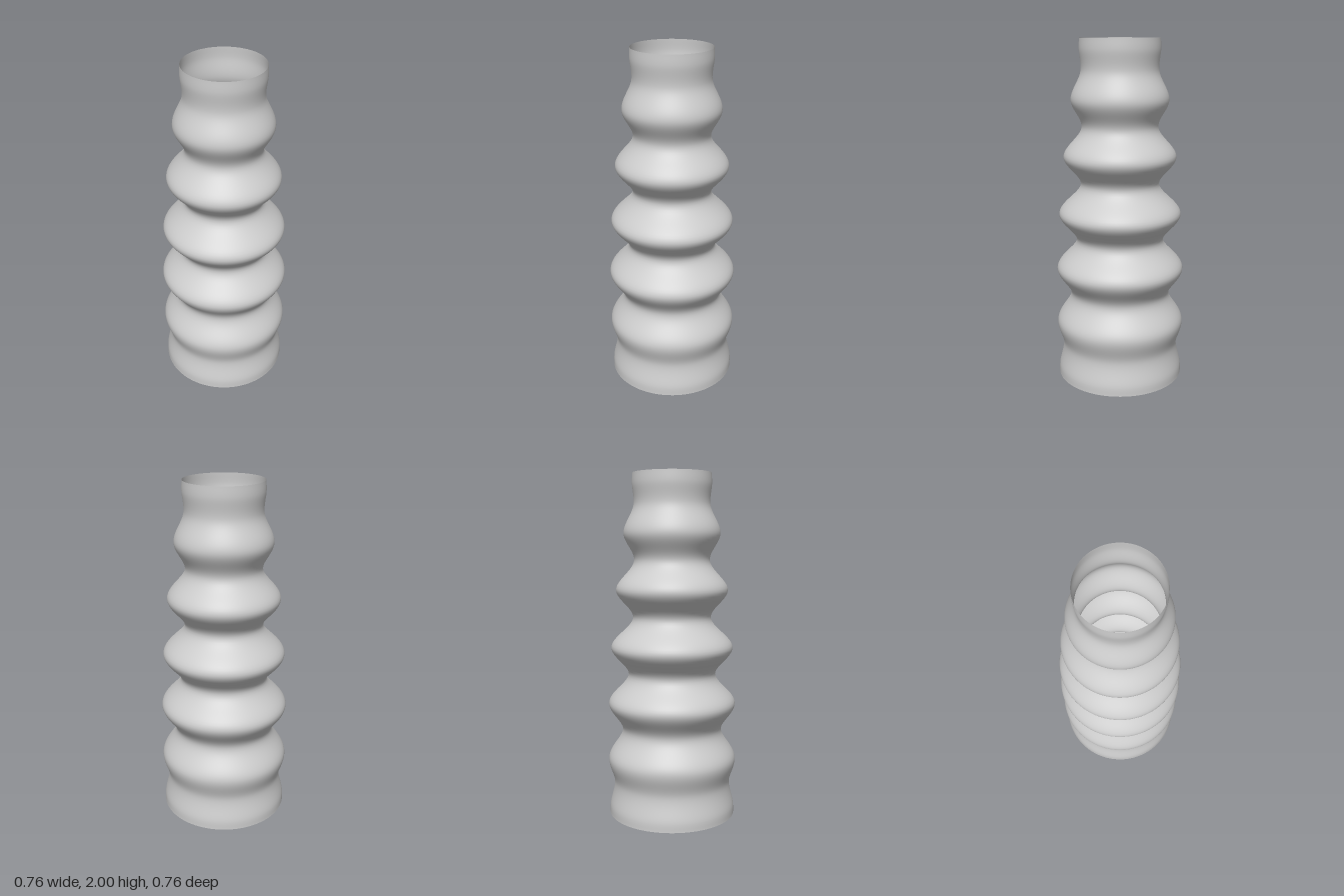
import * as THREE from 'three';

export function createModel() {
  const group = new THREE.Group();
  group.name = 'bellowsSleeve';

  // Alternating ridges and valleys, as [radius, height]
  const profile = [
    [0.373, 0], [0.371, 0.05], [0.344, 0.19],
    [0.377, 0.34], [0.293, 0.51],
    [0.374, 0.67], [0.256, 0.84],
    [0.357, 1.0], [0.228, 1.175],
    [0.326, 1.335], [0.22, 1.505],
    [0.28, 1.66], [0.222, 1.82],
    [0.23, 1.94], [0.228, 2],
  ];
  const curve = new THREE.CatmullRomCurve3(
    profile.map(([r, y]) => new THREE.Vector3(r, y, 0)), false, 'centripetal');
  const points = curve.getPoints(168).map((p) => new THREE.Vector2(p.x, p.y));

  // Thin corrugated tube, open at both ends
  const sleeve = new THREE.Mesh(
    new THREE.LatheGeometry(points, 96),
    new THREE.MeshStandardMaterial({ color: 0xcccccc, side: THREE.DoubleSide }));
  sleeve.name = 'corrugatedTube';
  group.add(sleeve);

  return group;
}
